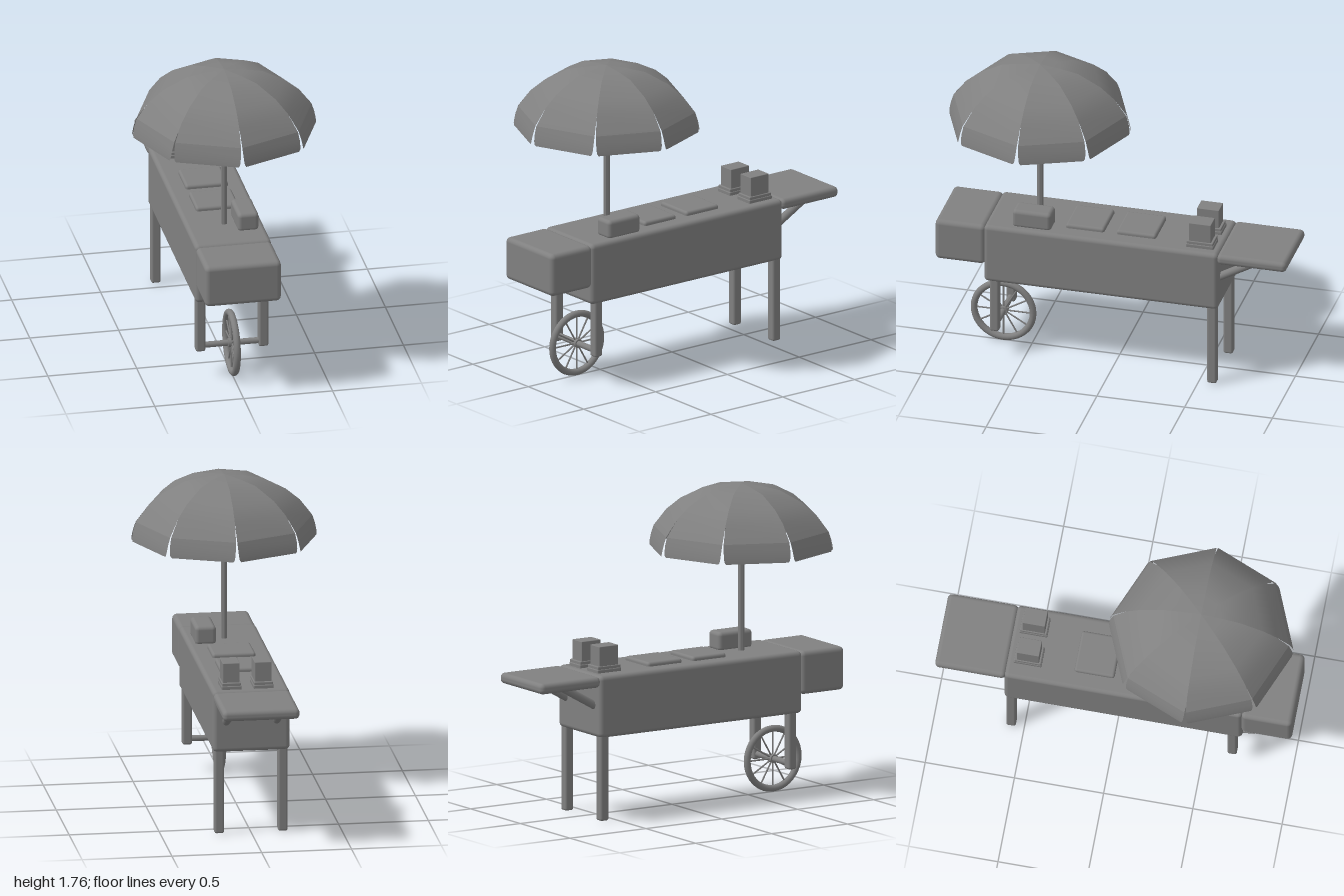
import * as THREE from 'three';
import { RoundedBoxGeometry } from 'three/addons/geometries/RoundedBoxGeometry.js';

const material = new THREE.MeshStandardMaterial({ color: 0x808080 });
const facetedMaterial = new THREE.MeshStandardMaterial({ color: 0x808080, flatShading: true });
const clothMaterial = new THREE.MeshStandardMaterial({ color: 0x808080, side: THREE.DoubleSide });

export function createModel() {
  const model = new THREE.Group();
  model.name = 'vendorCart';

  const add = (name, geometry, parent = model, mat = material) => {
    const mesh = new THREE.Mesh(geometry, mat);
    mesh.name = name;
    parent.add(mesh);
    return mesh;
  };
  // Rounded box given by its limits on each axis
  const box = (name, [x0, x1], [y0, y1], [z0, z1], r) => {
    const mesh = add(name, new RoundedBoxGeometry(x1 - x0, y1 - y0, z1 - z0, 3, r));
    mesh.position.set((x0 + x1) / 2, (y0 + y1) / 2, (z0 + z1) / 2);
    return mesh;
  };
  // Round bar between two points
  const bar = (name, a, b, r, sides = 12, parent = model, mat = material) => {
    const from = new THREE.Vector3(...a), to = new THREE.Vector3(...b);
    const dir = to.clone().sub(from);
    const mesh = add(name, new THREE.CylinderGeometry(r, r, dir.length(), sides), parent, mat);
    mesh.position.copy(from).add(to).multiplyScalar(0.5);
    mesh.quaternion.setFromUnitVectors(new THREE.Vector3(0, 1, 0), dir.normalize());
    return mesh;
  };

  // Cart body, front compartment and rear shelf
  box('cartBody', [-0.214, 0.214], [0.472, 0.82], [-0.612, 0.722], 0.025);
  box('frontCompartment', [-0.214, 0.214], [0.574, 0.817], [0.715, 1], 0.027);
  box('rearShelf', [-0.214, 0.214], [0.757, 0.817], [-1, -0.605], 0.025);

  // Legs and shelf braces
  for (const side of [-1, 1]) {
    const x = side * 0.177;
    box('frontLeg', [x - 0.027, x + 0.027], [0.16, 0.5], [0.638, 0.69], 0.012);
    box('rearLeg', [x - 0.027, x + 0.027], [0.005, 0.5], [-0.602, -0.548], 0.012);
    bar('shelfBrace', [side * 0.14, 0.64, -0.59], [side * 0.14, 0.785, -0.845], 0.023);
  }

  // Wheel on its axle
  bar('axle', [-0.175, 0.19, 0.663], [0.175, 0.19, 0.663], 0.017);
  const wheel = new THREE.Group();
  wheel.name = 'wheel';
  wheel.position.set(0, 0.19, 0.663);
  add('tire', new THREE.TorusGeometry(0.168, 0.019, 12, 40).rotateY(Math.PI / 2), wheel);
  add('hub', new THREE.CylinderGeometry(0.025, 0.025, 0.04, 16).rotateZ(Math.PI / 2), wheel);
  for (let i = 0; i < 12; i++) {
    const a = (i / 12) * Math.PI * 2;
    bar('spoke', [0, 0, 0], [0, Math.sin(a) * 0.165, Math.cos(a) * 0.165], 0.005, 6, wheel);
  }
  model.add(wheel);

  // Things on the counter
  box('smallBox', [0.057, 0.174], [0.81, 0.918], [0.35, 0.57], 0.022);
  box('frontLid', [-0.12, 0.12], [0.805, 0.843], [0.06, 0.28], 0.015);
  box('rearLid', [-0.12, 0.12], [0.805, 0.843], [-0.235, -0.01], 0.015);
  for (const x of [-0.073, 0.105]) {
    box('dispenserBase', [x - 0.056, x + 0.056], [0.815, 0.84], [-0.574, -0.417], 0.006);
    box('dispenserCollar', [x - 0.053, x + 0.053], [0.835, 0.856], [-0.57, -0.421], 0.004);
    box('dispenserBox', [x - 0.047, x + 0.047], [0.85, 0.966], [-0.557, -0.432], 0.003);
  }

  // Umbrella: eight panels, each with a crease and a hanging flap
  const umbrella = new THREE.Group();
  umbrella.name = 'umbrella';
  umbrella.position.z = 0.455;
  bar('pole', [0, 0.8, 0], [0, 1.755, 0], 0.018, 8, umbrella, facetedMaterial);

  // Rows are [radius, height, share of the panel width]
  const canopyRows = [[0, 1.76, 1], [0.11, 1.747, 1], [0.215, 1.728, 1], [0.342, 1.663, 1],
    [0.422, 1.597, 1], [0.493, 1.505, 0.98]];
  const flapRows = [[0.493, 1.505, 0.98], [0.509, 1.46, 0.96], [0.517, 1.425, 0.94],
    [0.52, 1.408, 0.92], [0.521, 1.398, 0.88]];
  const panel = (rows, angle) => {
    const points = [], index = [];
    rows.forEach(([r, y, share], i) => {
      const half = Math.PI / 8;
      const depth = r * Math.cos(half), width = r * Math.sin(half) * share;
      for (const s of [-1, 1]) points.push(s * width, y, depth);
      if (i > 0) {
        const a = 2 * i - 2;
        index.push(a, a + 2, a + 3);
        if (rows[i - 1][0] > 0) index.push(a, a + 3, a + 1);
      }
    });
    const geometry = new THREE.BufferGeometry();
    geometry.setAttribute('position', new THREE.Float32BufferAttribute(points, 3));
    geometry.setIndex(index);
    geometry.rotateY(angle);
    geometry.computeVertexNormals();
    return geometry;
  };
  for (let i = 0; i < 8; i++) {
    const angle = (i + 0.5) * Math.PI / 4;
    add('canopyPanel', panel(canopyRows, angle), umbrella, clothMaterial);
    add('canopyFlap', panel(flapRows, angle), umbrella, clothMaterial);
  }
  model.add(umbrella);

  return model;
}
